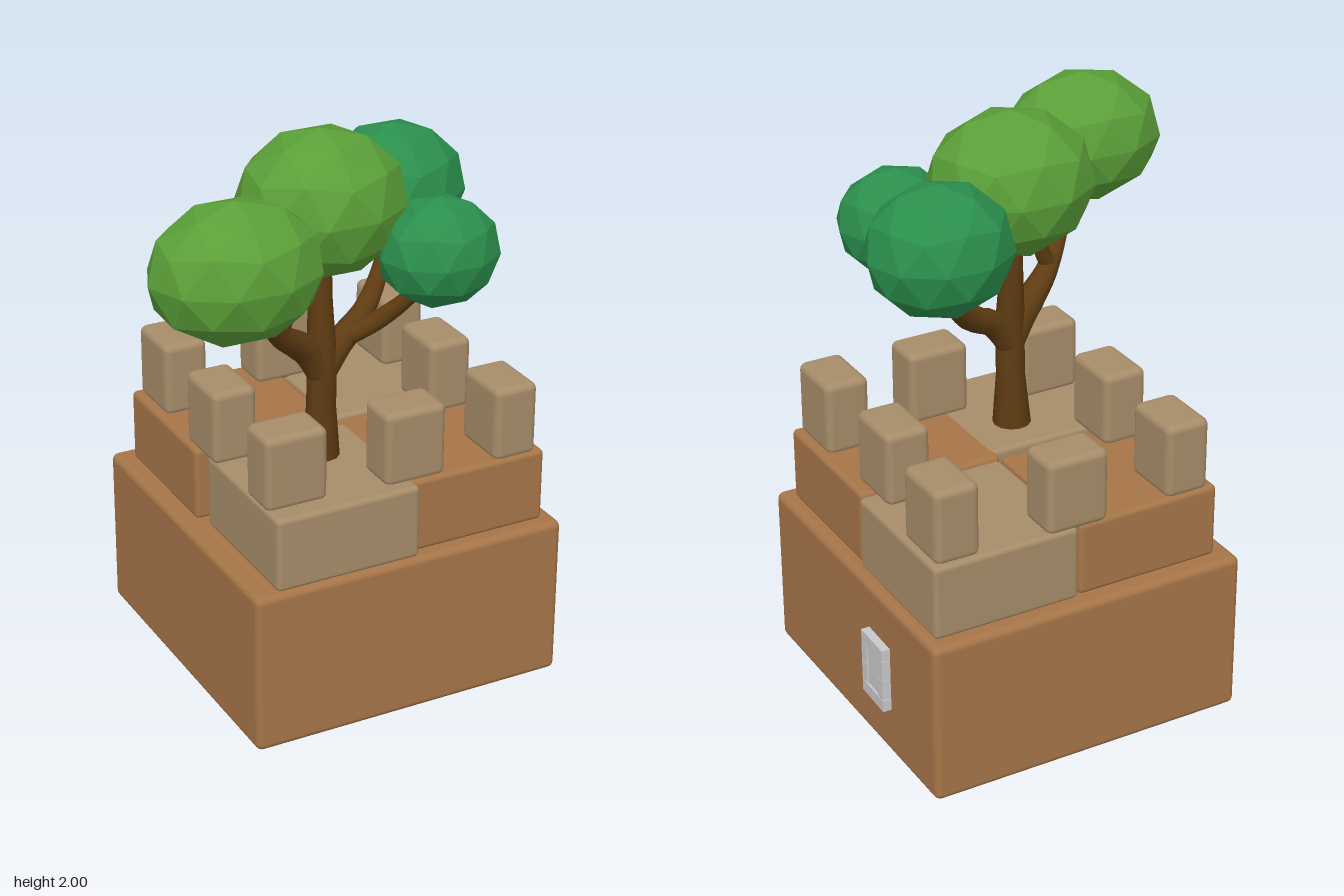
import * as THREE from 'three';
import { RoundedBoxGeometry } from 'three/addons/geometries/RoundedBoxGeometry.js';

const TURN = 0.025; // the masonry sits slightly askew

function paint(name, color, extra = {}) {
  const m = new THREE.MeshStandardMaterial({ color, ...extra });
  m.name = name;
  return m;
}

export function createModel() {
  const brown = paint('brown stone', 0xa67548);
  const tan = paint('tan stone', 0xa68c69);
  const bark = paint('bark', 0x5f3c12);
  const leaf = paint('light leaves', 0x5a9f38, { flatShading: true });
  const darkLeaf = paint('dark leaves', 0x2b8f4d, { flatShading: true });
  const grey = paint('window stone', 0xc9c9cc);

  const model = new THREE.Group();
  model.name = 'treeTower';

  function add(parent, name, geometry, material, x = 0, y = 0, z = 0) {
    const mesh = new THREE.Mesh(geometry, material);
    mesh.name = name;
    mesh.position.set(x, y, z);
    parent.add(mesh);
    return mesh;
  }

  // Rounded stone block standing on height y
  function block(parent, name, material, x, y, z, w, h, d, r) {
    const mesh = add(parent, name, new RoundedBoxGeometry(w, h, d, 3, r), material, x, y + h / 2, z);
    mesh.rotation.y = TURN;
    return mesh;
  }

  // Base and the four blocks of the upper tier
  block(model, 'base', brown, 0.12, 0, -0.073, 1.16, 0.585, 1.176, 0.025);
  const tier = new THREE.Group();
  tier.name = 'upperTier';
  model.add(tier);
  [
    [tan, -0.103, 0.238], [brown, 0.395, 0.19],
    [brown, -0.14, -0.327], [tan, 0.395, -0.35],
  ].forEach(([m, x, z]) => block(tier, 'tierBlock', m, x, 0.58, z, 0.528, 0.266, 0.528, 0.018));

  // Battlements: x, z and whether the long side runs along x
  const battlements = new THREE.Group();
  battlements.name = 'battlements';
  model.add(battlements);
  [
    [-0.298, -0.465, false], [0.125, -0.522, true], [0.557, -0.486, false],
    [-0.3, -0.055, false], [0.528, -0.08, false],
    [-0.252, 0.352, true], [0.175, 0.365, true], [0.553, 0.33, false],
  ].forEach(([x, z, wide]) =>
    block(battlements, 'merlon', tan, x, 0.835, z, wide ? 0.225 : 0.16, 0.265, wide ? 0.16 : 0.225, 0.026));

  // Window of small stones around a centre panel: z, y, width, height
  const window = new THREE.Group();
  window.name = 'window';
  model.add(window);
  [-0.37, -0.292].forEach((z) => [0.236, 0.43].forEach((y) =>
    add(window, 'lintelStone', new THREE.BoxGeometry(0.03, 0.042, 0.077), grey, 0.73, y, z)));
  [-0.39, -0.271].forEach((z) => [0.296, 0.371].forEach((y) =>
    add(window, 'sideStone', new THREE.BoxGeometry(0.03, 0.073, 0.036), grey, 0.73, y, z)));
  add(window, 'windowPanel', new THREE.BoxGeometry(0.022, 0.148, 0.08), grey, 0.728, 0.333, -0.331);

  // Tree limbs: tapered tubes along a curve
  const tree = new THREE.Group();
  tree.name = 'tree';
  model.add(tree);
  function limb(name, points, radii) {
    const curve = new THREE.CatmullRomCurve3(points.map((p) => new THREE.Vector3(...p)));
    const segments = 20, sides = 12;
    const geometry = new THREE.TubeGeometry(curve, segments, 1, sides);
    const pos = geometry.attributes.position, nor = geometry.attributes.normal;
    for (let i = 0; i < pos.count; i++) {
      const t = Math.floor(i / (sides + 1)) / segments * (radii.length - 1);
      const k = Math.min(Math.floor(t), radii.length - 2);
      const pull = 1 - THREE.MathUtils.lerp(radii[k], radii[k + 1], t - k);
      pos.setXYZ(i, pos.getX(i) - nor.getX(i) * pull, pos.getY(i) - nor.getY(i) * pull,
        pos.getZ(i) - nor.getZ(i) * pull);
    }
    add(tree, name, geometry, bark);
    // Rounded tip
    const end = points[points.length - 1];
    add(tree, name + 'Tip', new THREE.SphereGeometry(radii[radii.length - 1], 10, 8), bark, ...end);
  }
  limb('trunk', [[-0.027, 0.83, 0.138], [-0.025, 1.02, 0.142], [-0.025, 1.2, 0.145],
    [-0.025, 1.4, 0.135], [-0.022, 1.62, 0.13]], [0.068, 0.05, 0.05, 0.04, 0.036]);
  limb('leftBranch', [[-0.025, 1.14, 0.143], [-0.09, 1.25, 0.16], [-0.21, 1.35, 0.22],
    [-0.31, 1.48, 0.3], [-0.39, 1.6, 0.38]], [0.045, 0.05, 0.036, 0.028, 0.022]);
  limb('twig', [[-0.22, 1.36, 0.225], [-0.19, 1.42, 0.22], [-0.175, 1.5, 0.21]], [0.032, 0.026, 0.017]);
  limb('backRightBranch', [[-0.025, 1.14, 0.143], [0.05, 1.24, 0.13], [0.17, 1.31, 0.07],
    [0.27, 1.43, 0], [0.32, 1.58, -0.05]], [0.045, 0.046, 0.036, 0.028, 0.02]);
  limb('frontRightBranch', [[0.06, 1.25, 0.13], [0.17, 1.32, 0.18], [0.25, 1.42, 0.25],
    [0.29, 1.53, 0.31]], [0.034, 0.032, 0.026, 0.02]);

  // Faceted crowns, with a vertex pointing up
  const ball = new THREE.IcosahedronGeometry(1, 1);
  ball.rotateX(-Math.atan2((1 + Math.sqrt(5)) / 2, 1));
  [
    ['leftCrown', leaf, [-0.467, 1.715, 0.442], [0.29, 0.232, 0.232]],
    ['middleCrown', leaf, [-0.018, 1.748, 0.122], [0.292, 0.252, 0.26]],
    ['backRightCrown', darkLeaf, [0.35, 1.665, -0.085], [0.254, 0.226, 0.229]],
    ['frontRightCrown', darkLeaf, [0.303, 1.597, 0.33], [0.208, 0.187, 0.187]],
  ].forEach(([name, material, centre, radii]) =>
    add(tree, name, ball, material, ...centre).scale.set(...radii));

  return model;
}
